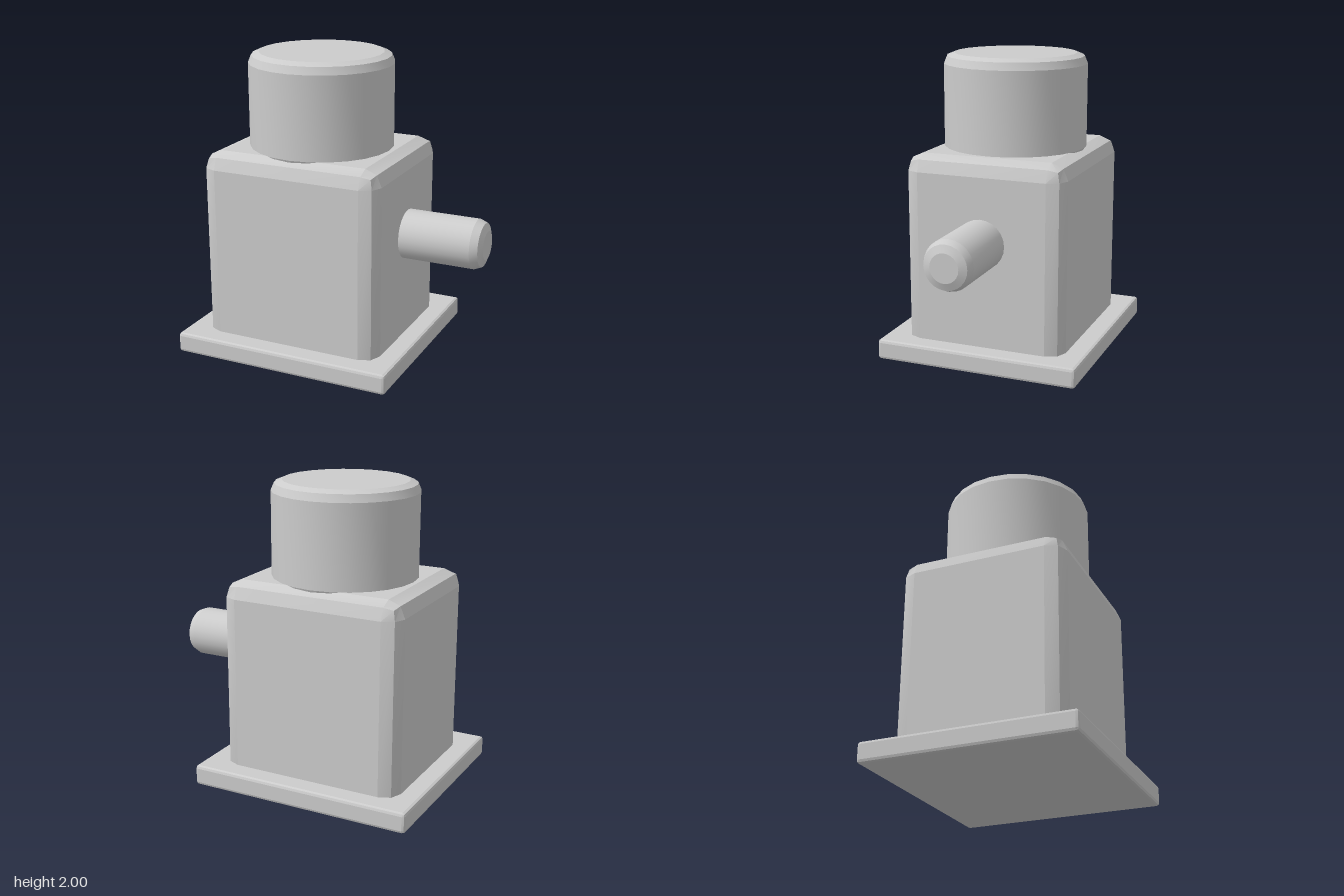
import * as THREE from 'three';
import { toCreasedNormals } from 'three/addons/utils/BufferGeometryUtils.js';
import { RoundedBoxGeometry } from 'three/addons/geometries/RoundedBoxGeometry.js';

const CREASE = 0.3; // keeps bevel facets crisp, round walls smooth

// Box with a two-step bevel, placed by its bottom
function bevelBox(w, h, d, bevel) {
  const g = new RoundedBoxGeometry(w, h, d, 1, bevel);
  g.translate(0, h / 2, 0);
  return toCreasedNormals(g, CREASE);
}

// Cylinder with two-step bevelled ends, standing on y = 0
function bevelCylinder(radius, height, bevel, sides) {
  const points = [new THREE.Vector2(0, 0)];
  for (let end = 0; end < 2; end++) {
    for (let i = 0; i <= 2; i++) {
      const a = ((end === 0 ? i - 2 : i) * Math.PI) / 4;
      const y = end === 0 ? bevel : height - bevel;
      points.push(new THREE.Vector2(radius - bevel + bevel * Math.cos(a), y + bevel * Math.sin(a)));
    }
  }
  points.push(new THREE.Vector2(0, height));
  return toCreasedNormals(new THREE.LatheGeometry(points, sides), CREASE);
}

export function createModel() {
  const model = new THREE.Group();
  model.name = 'motorUnit';
  const grey = new THREE.MeshStandardMaterial({ color: 0xcccccc });
  grey.name = 'grey';

  const add = (name, geometry, x, y, z) => {
    const mesh = new THREE.Mesh(geometry, grey);
    mesh.name = name;
    mesh.position.set(x, y, z);
    model.add(mesh);
    return mesh;
  };

  // Mounting plate and housing
  add('basePlate', bevelBox(1.51, 0.135, 1.38, 0.02), -0.21, 0, 0);
  add('housing', bevelBox(1.24, 1.36, 1.1, 0.11), -0.21, 0.02, 0);

  // Round cap on top
  add('cap', bevelCylinder(0.48, 0.69, 0.07, 24), -0.21, 1.31, 0);

  // Shaft out of the left side
  const shaft = add('shaft', bevelCylinder(0.165, 0.76, 0.07, 24), 0.2, 0.833, 0);
  shaft.rotation.z = -Math.PI / 2;

  return model;
}
